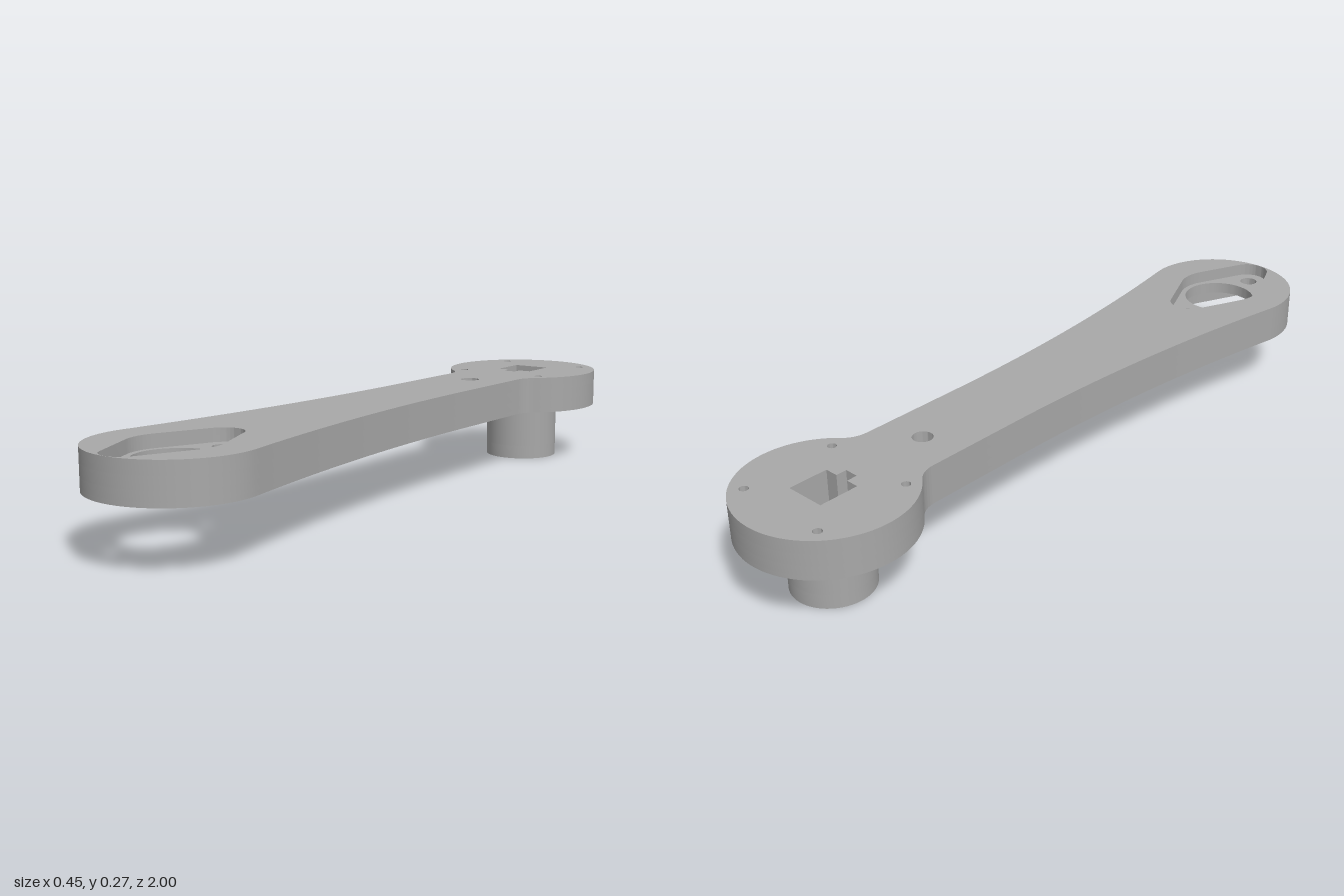
import * as THREE from 'three';
import { toCreasedNormals } from 'three/addons/utils/BufferGeometryUtils.js';

// Plan shapes are drawn in (x, s) with s = -z, then extruded upwards.
const HEAD = 0.775, FOOT = -0.785;

function circle(x, s, r, Type = THREE.Path) {
  const p = new Type();
  p.absarc(x, s, r, 0, Math.PI * 2, false);
  return p;
}

function polygon(points) {
  return new THREE.Path(points.map(([x, s]) => new THREE.Vector2(x, s)));
}

function slot(halfWidth, s0, s1) {
  return polygon([[-halfWidth, s0], [halfWidth, s0], [halfWidth, s1], [-halfWidth, s1]]);
}

// Square socket with a keyway towards the front
function socket() {
  const a = 0.055, k = 0.019;
  return polygon([[-a, HEAD + 0.06], [-a, HEAD - 0.05], [-k, HEAD - 0.05], [-k, HEAD - 0.08],
    [k, HEAD - 0.08], [k, HEAD - 0.05], [a, HEAD - 0.05], [a, HEAD + 0.06]]);
}

// Rounded diamond: a middle circle joined by tangents to two tip circles
function flangePocket() {
  const d = 0.157, R = 0.118, r = 0.055;
  const t = Math.asin((R - r) / d);
  const p = new THREE.Path();
  p.absarc(0, FOOT, R, -t, t, false);
  p.absarc(0, FOOT + d, r, t, Math.PI - t, false);
  p.absarc(0, FOOT, R, Math.PI - t, Math.PI + t, false);
  p.absarc(0, FOOT - d, r, Math.PI + t, Math.PI * 2 - t, false);
  p.closePath();
  return p;
}

// Arm outline: round head, narrow waist, flared round foot
function armOutline() {
  const R = 0.225, r = 0.213, tilt = 0.182, w = 0.118;
  const neck = Math.asin(-0.172 / R);
  const fx = r * Math.cos(tilt), fs = FOOT + r * Math.sin(tilt);
  const nx = R * Math.cos(neck), ns = HEAD - 0.172;
  const p = new THREE.Shape();
  p.moveTo(fx, fs);
  p.quadraticCurveTo(w, -0.247, w, 0.25);
  p.lineTo(w, 0.54);
  p.quadraticCurveTo(w, 0.58, nx, ns);
  p.absarc(0, HEAD, R, neck, Math.PI - neck, false);
  p.quadraticCurveTo(-w, 0.58, -w, 0.54);
  p.lineTo(-w, 0.25);
  p.quadraticCurveTo(-w, -0.247, -fx, fs);
  p.absarc(0, FOOT, r, Math.PI - tilt, Math.PI * 2 + tilt, false);
  return p;
}

export function createModel() {
  const model = new THREE.Group();
  model.name = 'crankArm';
  const metal = new THREE.MeshStandardMaterial({ color: 0xa8a8a8 });
  metal.name = 'grey metal';

  function layer(name, shape, y0, y1, holes) {
    shape.holes.push(...holes);
    const geo = new THREE.ExtrudeGeometry(shape, { depth: y1 - y0, bevelEnabled: false, curveSegments: 32 });
    geo.rotateX(-Math.PI / 2);
    geo.translate(0, y0, 0);
    const mesh = new THREE.Mesh(toCreasedNormals(geo, 0.5), metal);
    mesh.name = name;
    model.add(mesh);
  }

  // Arm, bottom to top: stepped groove, lower pocket, web, upper pocket
  const ledgeHoles = [], headHoles = [];
  for (const x of [-1, 1]) {
    for (const s of [-0.14, 0.23]) ledgeHoles.push(circle(x * 0.05, s, 0.006));
    for (const s of [-1, 1]) headHoles.push(circle(x * 0.132, HEAD + s * 0.132, 0.012));
  }
  const armHole = () => circle(0, 0.465, 0.027);

  layer('armUnderside', armOutline(), 0.165, 0.177,
    [socket(), flangePocket(), slot(0.065, -0.515, 0.6)]);
  layer('armGroove', armOutline(), 0.177, 0.203,
    [socket(), flangePocket(), slot(0.034, -0.485, 0.57), ...ledgeHoles]);
  layer('armWeb', armOutline(), 0.203, 0.235,
    [socket(), armHole(), circle(0, FOOT, 0.103),
      circle(0, FOOT + 0.157, 0.025), circle(0, FOOT - 0.157, 0.025)]);
  layer('armTop', armOutline(), 0.235, 0.27,
    [socket(), armHole(), flangePocket(), ...headHoles]);

  // Hub under the head, with a thin collar and small holes in its end
  const hubHoles = [[0.08, 0.03], [-0.03, 0.08], [-0.08, -0.03], [0.03, -0.08]]
    .map(([x, s]) => circle(x, HEAD + s, 0.007));
  layer('hubEnd', circle(0, HEAD, 0.108, THREE.Shape), 0, 0.04, [socket(), ...hubHoles]);
  layer('hub', circle(0, HEAD, 0.108, THREE.Shape), 0.04, 0.157, [socket()]);
  layer('hubCollar', circle(0, HEAD, 0.121, THREE.Shape), 0.157, 0.165, [socket()]);

  return model;
}
